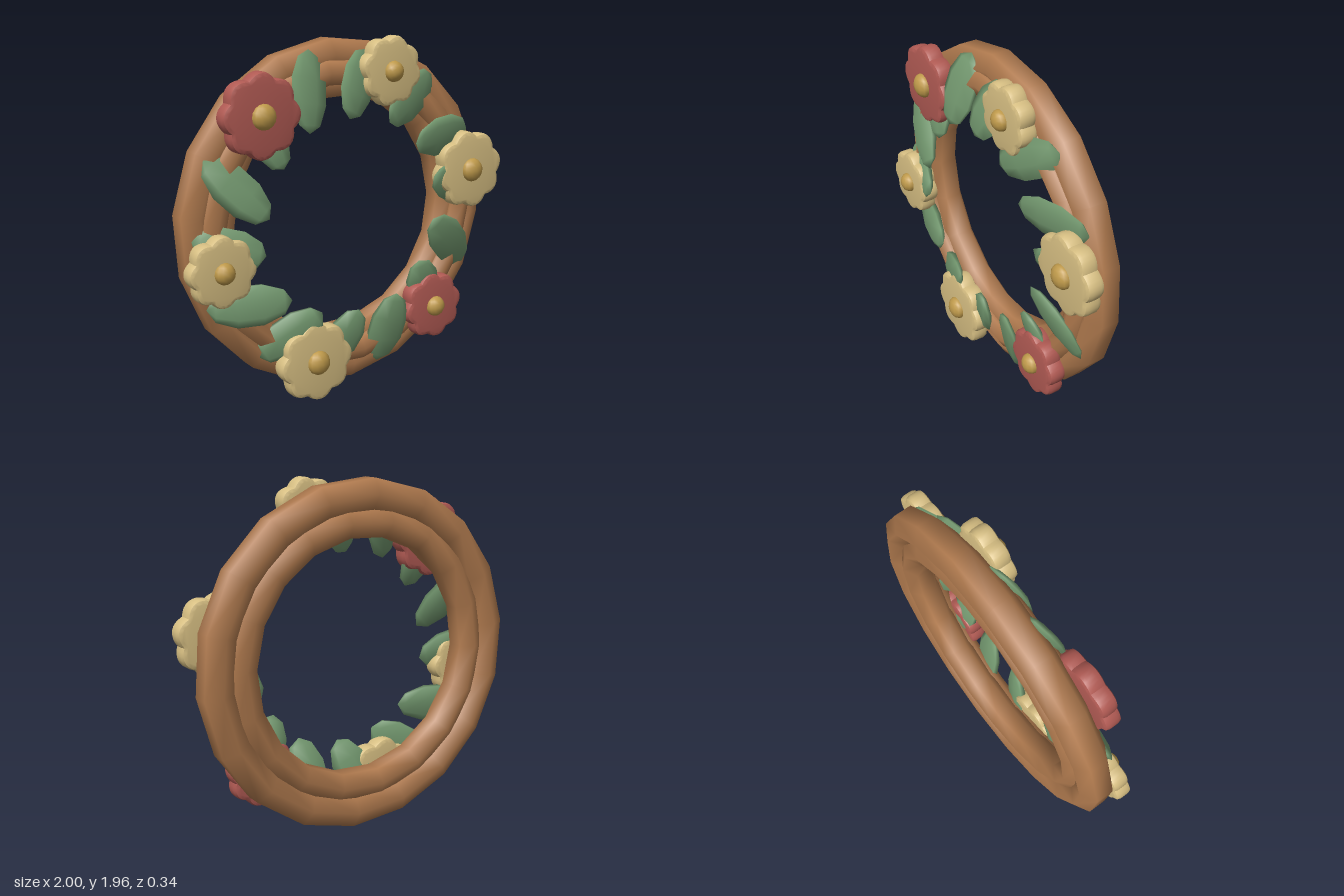
import * as THREE from 'three';
import { toCreasedNormals } from 'three/addons/utils/BufferGeometryUtils.js';

const material = (color) => new THREE.MeshStandardMaterial({ color });
const deg = THREE.MathUtils.degToRad;

// Six-sided tube bent into an 18-sided ring facing +z
function vineGeometry(R, r) {
  const profile = [];
  for (let i = 0; i <= 6; i++) {
    const a = deg(150 + i * 60);
    profile.push(new THREE.Vector2(R + r * Math.cos(a), r * Math.sin(a)));
  }
  const g = new THREE.LatheGeometry(profile, 18).rotateX(Math.PI / 2);
  return toCreasedNormals(g, 1.2);
}

// Eight-lobed bevelled blossom, lying between z = 0 and z = 0.1
function blossomGeometry(R) {
  const points = [];
  for (let i = 0; i < 64; i++) {
    const a = (i / 64) * Math.PI * 2;
    const r = R * (0.88 + 0.12 * Math.abs(Math.cos(4 * a)));
    points.push(new THREE.Vector2(r * Math.cos(a), r * Math.sin(a)));
  }
  const g = new THREE.ExtrudeGeometry(new THREE.Shape(points), {
    depth: 0.05, bevelThickness: 0.025, bevelSize: 0.022, bevelOffset: -0.022, bevelSegments: 2,
  });
  return toCreasedNormals(g.translate(0, 0, 0.025), 0.75);
}

export function createModel() {
  const model = new THREE.Group();
  model.name = 'flowerWreath';
  const brown = material(0xb07a4e), green = material(0x73986f);
  const yellow = material(0xd6be82), red = material(0xb05a53), gold = material(0xbf9a4b);

  function add(parent, name, geometry, mat) {
    const mesh = new THREE.Mesh(geometry, mat);
    mesh.name = name;
    parent.add(mesh);
    return mesh;
  }

  // Vine rings: ring radius, tube radius, z, turn
  const vines = [
    ['outerVine', 0.875, 0.1, -0.075, 4],
    ['innerVine', 0.735, 0.09, -0.08, 12],
    ['frontVine', 0.79, 0.075, -0.015, 8],
  ];
  for (const [name, R, r, z, turn] of vines) {
    const vine = add(model, name, vineGeometry(R, r), brown);
    vine.position.set(-0.02, 1, z);
    vine.rotation.z = deg(turn);
  }

  // Leaves: x, y, half length, half width, direction of the outer tip
  const leaves = [
    [-0.27, 1.70, 0.22, 0.12, 82], [0.03, 1.72, 0.2, 0.12, 65],
    [0.38, 1.62, 0.22, 0.12, 32], [0.60, 1.39, 0.23, 0.12, 4],
    [0.70, 1.10, 0.21, 0.12, -22], [0.66, 0.77, 0.23, 0.12, -46],
    [0.48, 0.54, 0.17, 0.11, -70], [0.23, 0.32, 0.22, 0.12, -98],
    [-0.06, 0.32, 0.18, 0.11, -115], [-0.40, 0.40, 0.21, 0.12, -148],
    [-0.64, 0.61, 0.23, 0.12, 181], [-0.75, 0.93, 0.2, 0.12, 164],
    [-0.70, 1.23, 0.23, 0.12, 134], [-0.51, 1.47, 0.17, 0.11, 112],
  ];
  const leafGeometry = new THREE.SphereGeometry(1, 7, 5);
  for (const [x, y, length, width, angle] of leaves) {
    const holder = new THREE.Group();
    holder.name = 'leaf';
    holder.position.set(x, y, 0.058);
    holder.rotation.z = deg(angle - 90);
    const blade = add(holder, 'leafBlade', leafGeometry, green);
    blade.scale.set(width, length, 0.035);
    blade.rotation.set(-0.25, 0.15, 0); // outer tip leans back into the vines
    model.add(holder);
  }

  // Flowers: x, y, radius, turn, petal material
  const flowers = [
    [-0.57, 1.60, 0.225, 0, red], [0.22, 1.78, 0.19, 32, yellow],
    [0.775, 1.185, 0.225, 12, yellow], [0.53, 0.41, 0.195, 10, red],
    [-0.26, 0.23, 0.225, 5, yellow], [-0.81, 0.825, 0.192, 0, yellow],
  ];
  for (const [x, y, R, turn, mat] of flowers) {
    const flower = new THREE.Group();
    flower.name = 'flower';
    flower.position.set(x, y, 0.02);
    flower.rotation.z = deg(turn);
    add(flower, 'petals', blossomGeometry(R), mat);
    const centre = add(flower, 'flowerCentre', new THREE.SphereGeometry(1, 12, 8), gold);
    centre.scale.set(R * 0.3, R * 0.3, 0.048);
    centre.position.z = 0.1;
    model.add(flower);
  }
  return model;
}
